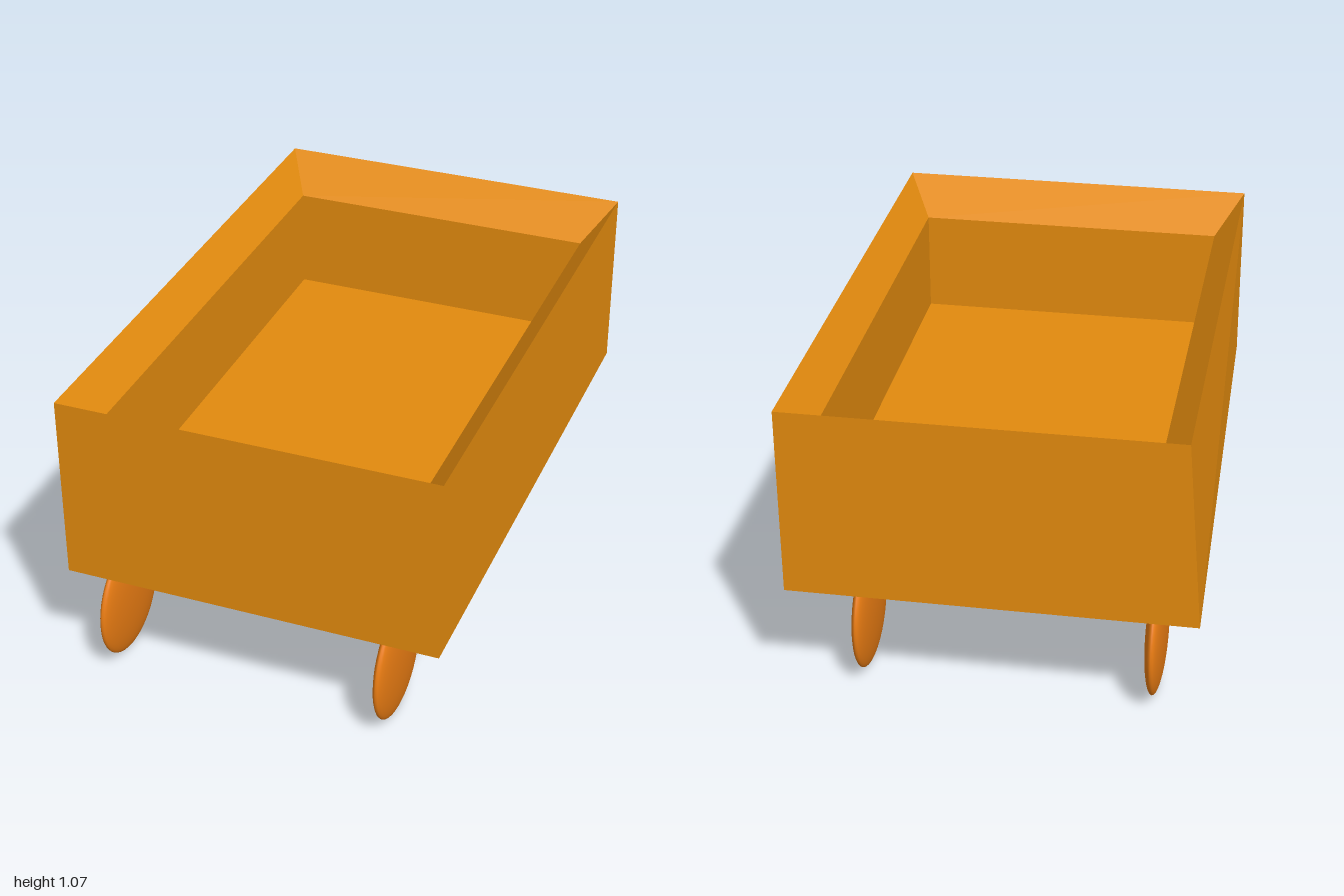
import * as THREE from 'three';

// Rectangular ring of corners, counter-clockwise seen from above
const ring = (x0, x1, y, z0, z1) => [[x0, y, z1], [x1, y, z1], [x1, y, z0], [x0, y, z0]];

// Open tray: outer walls, sloping rim, inner walls, floor and underside
function trayGeometry() {
  const base = ring(-0.62, 0.67, 0.415, -1, 0.995);
  base[3][0] = -0.67; // the lower back corner is pulled outwards
  const rings = [
    base,
    ring(-0.62, 0.67, 1.065, -1, 0.995),
    ring(-0.525, 0.575, 0.95, -0.845, 0.835),
    ring(-0.525, 0.575, 0.585, -0.845, 0.835),
  ];
  const positions = [];
  const quad = (a, b, c, d) => positions.push(...a, ...b, ...c, ...a, ...c, ...d);
  for (let r = 0; r < rings.length - 1; r++) {
    const low = rings[r], high = rings[r + 1];
    for (let i = 0; i < 4; i++) {
      const j = (i + 1) % 4;
      quad(low[i], low[j], high[j], high[i]);
    }
  }
  quad(...rings[3]);
  quad(...[...base].reverse());
  const geometry = new THREE.BufferGeometry();
  geometry.setAttribute('position', new THREE.Float32BufferAttribute(positions, 3));
  geometry.computeVertexNormals();
  return geometry;
}

export function createModel() {
  const model = new THREE.Group();
  model.name = 'wagon';

  const tray = new THREE.Mesh(trayGeometry(), new THREE.MeshStandardMaterial({ color: 0xe28a0e }));
  tray.name = 'tray';
  model.add(tray);

  // Four flattened spheres as wheels
  const wheelGeometry = new THREE.SphereGeometry(0.204, 32, 24).scale(0.17, 1, 1);
  const wheelMaterial = new THREE.MeshStandardMaterial({ color: 0xe67a12 });
  for (const [end, z] of [['front', 0.796], ['back', -0.738]]) {
    for (const [side, x] of [['Right', -0.511], ['Left', 0.46]]) {
      const wheel = new THREE.Mesh(wheelGeometry, wheelMaterial);
      wheel.name = `${end}${side}Wheel`;
      wheel.position.set(x, 0.204, z);
      model.add(wheel);
    }
  }
  return model;
}
